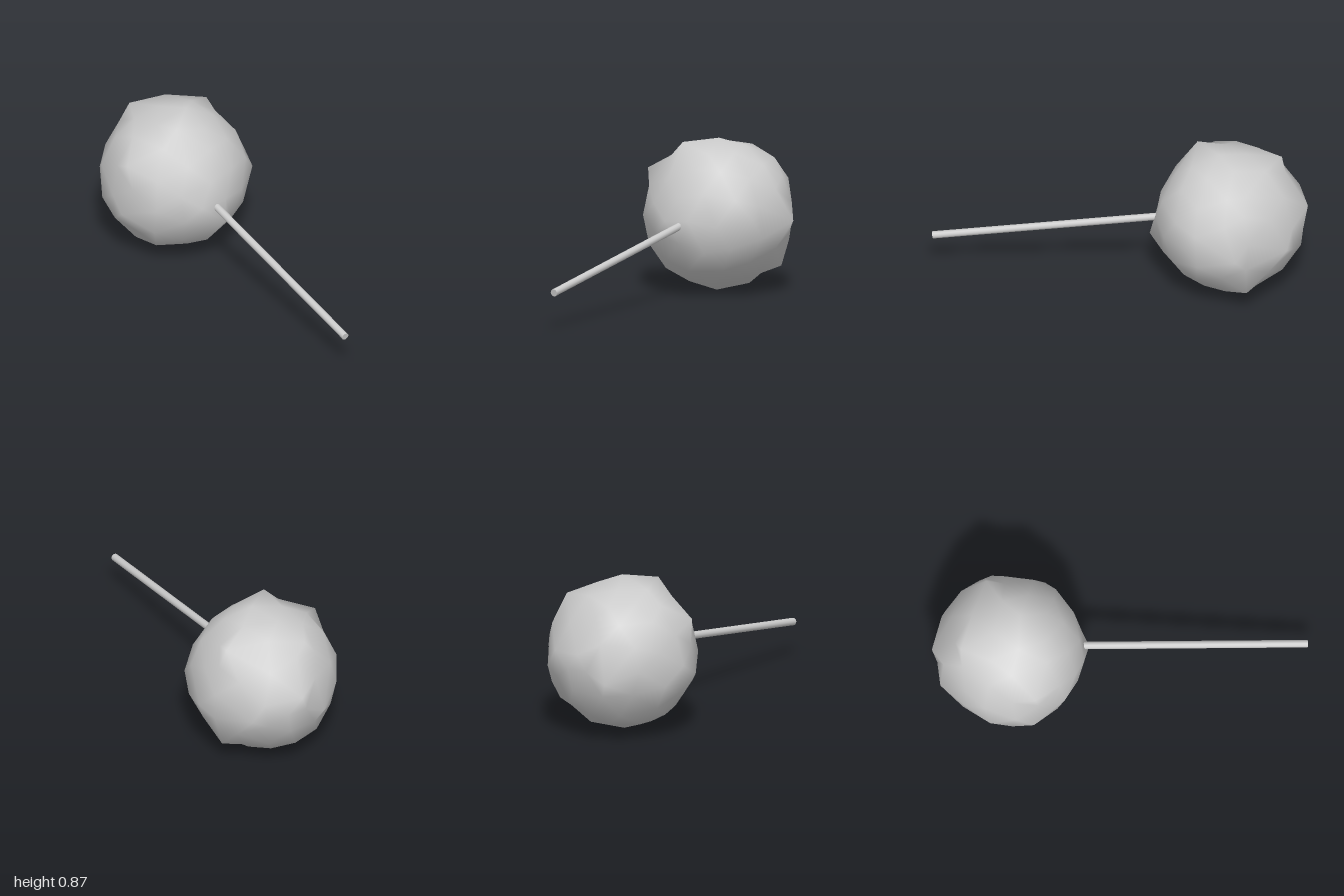
import * as THREE from 'three';
import { mergeVertices } from 'three/addons/utils/BufferGeometryUtils.js';

const CENTER = new THREE.Vector3(-0.57, 0.435, -0.075);

// Corners of the candy that stick out or sit at its extremes
const KNOBS = [
  [-0.14, 0.32, 0.05], [-0.48, 0.42, -0.52], [-0.80, 0.40, -0.44],
  [-0.57, 0.76, -0.39], [-1.0, 0.37, -0.06], [-0.98, 0.53, -0.22],
  [-0.87, 0.78, -0.07], [-0.62, 0.36, 0.365], [-0.60, 0.67, 0.34],
  [-0.57, 0.0, -0.06], [-0.57, 0.15, -0.43], [-0.60, 0.04, -0.24],
  [-0.50, 0.87, -0.09], [-0.43, 0.85, 0.10], [-0.23, 0.45, -0.35],
].map((p) => new THREE.Vector3(...p).sub(CENTER));

function seeded(seed) {
  return () => {
    seed = (seed * 16807) % 2147483647;
    return seed / 2147483647;
  };
}

// Coarse ball with uneven radius; the nearest vertex is pulled to each knob
function lumpyBall() {
  let geo = new THREE.IcosahedronGeometry(1, 2);
  geo.deleteAttribute('normal');
  geo.deleteAttribute('uv');
  geo = mergeVertices(geo, 1e-4);
  const pos = geo.attributes.position;
  const rand = seeded(77);
  const points = [];
  for (let i = 0; i < pos.count; i++) {
    const v = new THREE.Vector3().fromBufferAttribute(pos, i);
    const slide = () => (rand() - 0.5) * 0.1;
    v.add(new THREE.Vector3(slide(), slide(), slide()));
    points.push(v.setLength(0.42 + (rand() - 0.5) * 0.022));
  }
  const taken = new Set();
  for (const knob of KNOBS) {
    let best = -1;
    points.forEach((p, i) => {
      if (taken.has(i)) return;
      if (best < 0 || p.angleTo(knob) < points[best].angleTo(knob)) best = i;
    });
    taken.add(best);
    points[best].copy(knob);
  }
  points.forEach((p, i) => pos.setXYZ(i, p.x, p.y, p.z));
  geo.computeVertexNormals();
  return geo;
}

export function createModel() {
  const group = new THREE.Group();
  group.name = 'lollipop';
  const material = new THREE.MeshStandardMaterial({ color: 0xcccccc });

  // Candy head
  const candy = new THREE.Mesh(lumpyBall(), material);
  candy.name = 'candy';
  candy.position.copy(CENTER);
  group.add(candy);

  // Stick, running from inside the candy to its free end
  const start = new THREE.Vector3(-0.25, 0.424, 0.04);
  const end = new THREE.Vector3(0.99, 0.21, 0.5);
  const axis = end.clone().sub(start);
  const stick = new THREE.Mesh(new THREE.CylinderGeometry(0.021, 0.021, axis.length(), 12), material);
  stick.name = 'stick';
  stick.position.copy(start).lerp(end, 0.5);
  stick.quaternion.setFromUnitVectors(new THREE.Vector3(0, 1, 0), axis.normalize());
  group.add(stick);

  return group;
}
